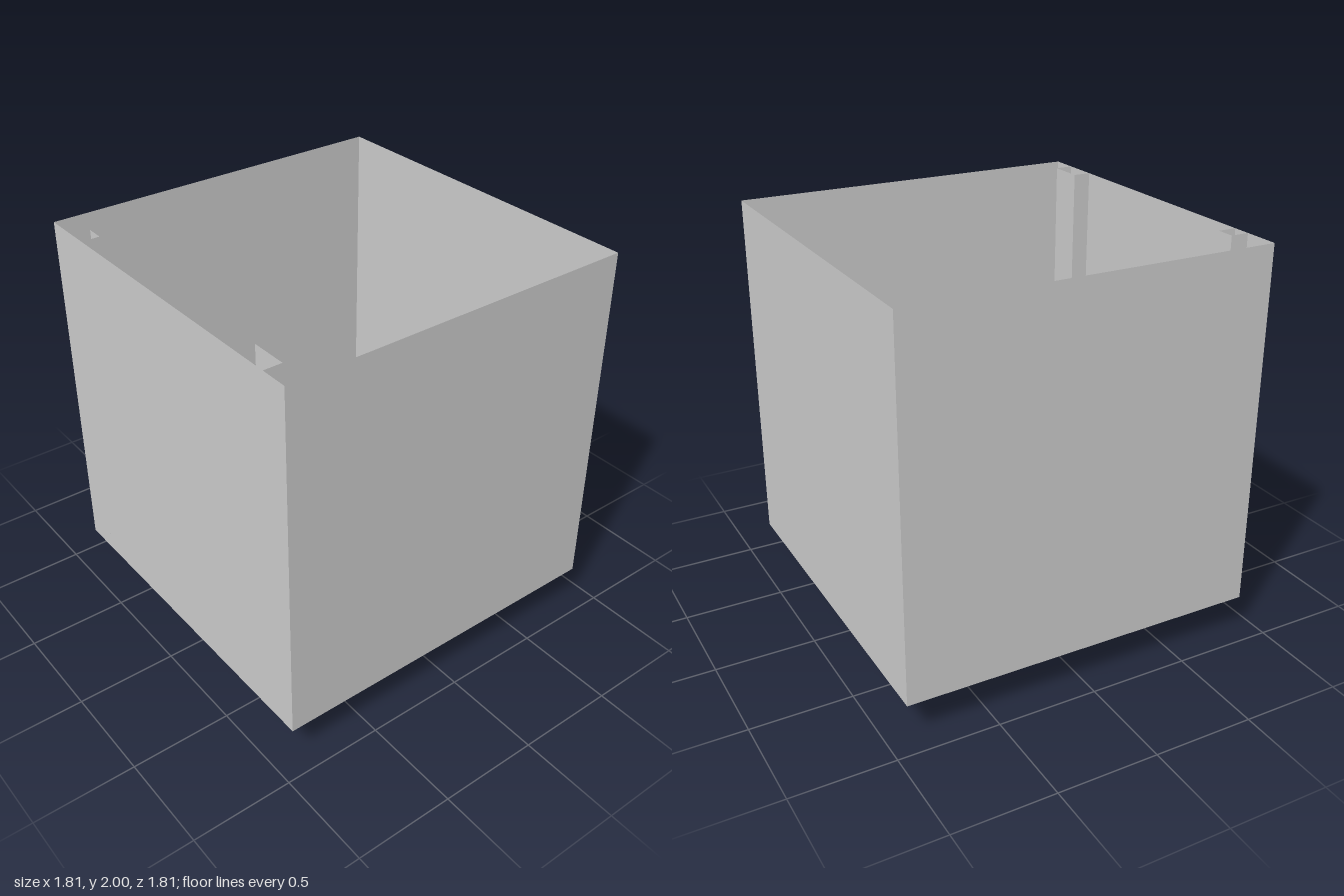
import * as THREE from 'three';

const HALF = 0.907, FLOOR = 0.186, TOP = 2;

const material = new THREE.MeshStandardMaterial({
  color: 0xcccccc, flatShading: true, side: THREE.DoubleSide,
});

function addMesh(parent, name, geometry) {
  const mesh = new THREE.Mesh(geometry, material);
  mesh.name = name;
  parent.add(mesh);
}

// Square shell from a profile of [half width, height] points
function squareShell(profile) {
  const points = profile.map(([half, y]) => new THREE.Vector2(half * Math.SQRT2, y));
  const geometry = new THREE.LatheGeometry(points, 4, Math.PI / 4).toNonIndexed();
  geometry.computeVertexNormals();
  return geometry;
}

// Upright thin sheet folded along a path of [x, z] points
function foldedSheet(path, bottom, top) {
  const geometry = new THREE.PlaneGeometry(1, 1, path.length - 1, 1);
  const position = geometry.attributes.position;
  for (let i = 0; i < position.count; i++) {
    const [x, z] = path[i % path.length];
    position.setXYZ(i, x, i < path.length ? top : bottom, z);
  }
  const flat = geometry.toNonIndexed();
  flat.computeVertexNormals();
  return flat;
}

export function createModel() {
  const model = new THREE.Group();
  model.name = 'tank';

  // Open-topped walls, and a floor with a square drain opening
  addMesh(model, 'walls', squareShell([[HALF, FLOOR], [HALF, TOP]]));
  addMesh(model, 'floor', squareShell([[0.182, FLOOR], [HALF, FLOOR]]));

  // Stepped hollow drain, open at the bottom
  addMesh(model, 'drain', squareShell([
    [0.09, 0], [0.09, 0.048], [0.137, 0.048],
    [0.137, 0.097], [0.182, 0.097], [0.182, FLOOR],
  ]));

  // Hollow channels running up the inside of one side wall
  const inner = -0.816;
  for (const [name, z0, z1] of [['backChannel', -0.727, -0.638], ['frontChannel', 0.589, 0.77]]) {
    const path = [[-HALF, z1], [inner, z1], [inner, z0], [-HALF, z0]];
    addMesh(model, name, foldedSheet(path, FLOOR, TOP));
  }
  return model;
}
